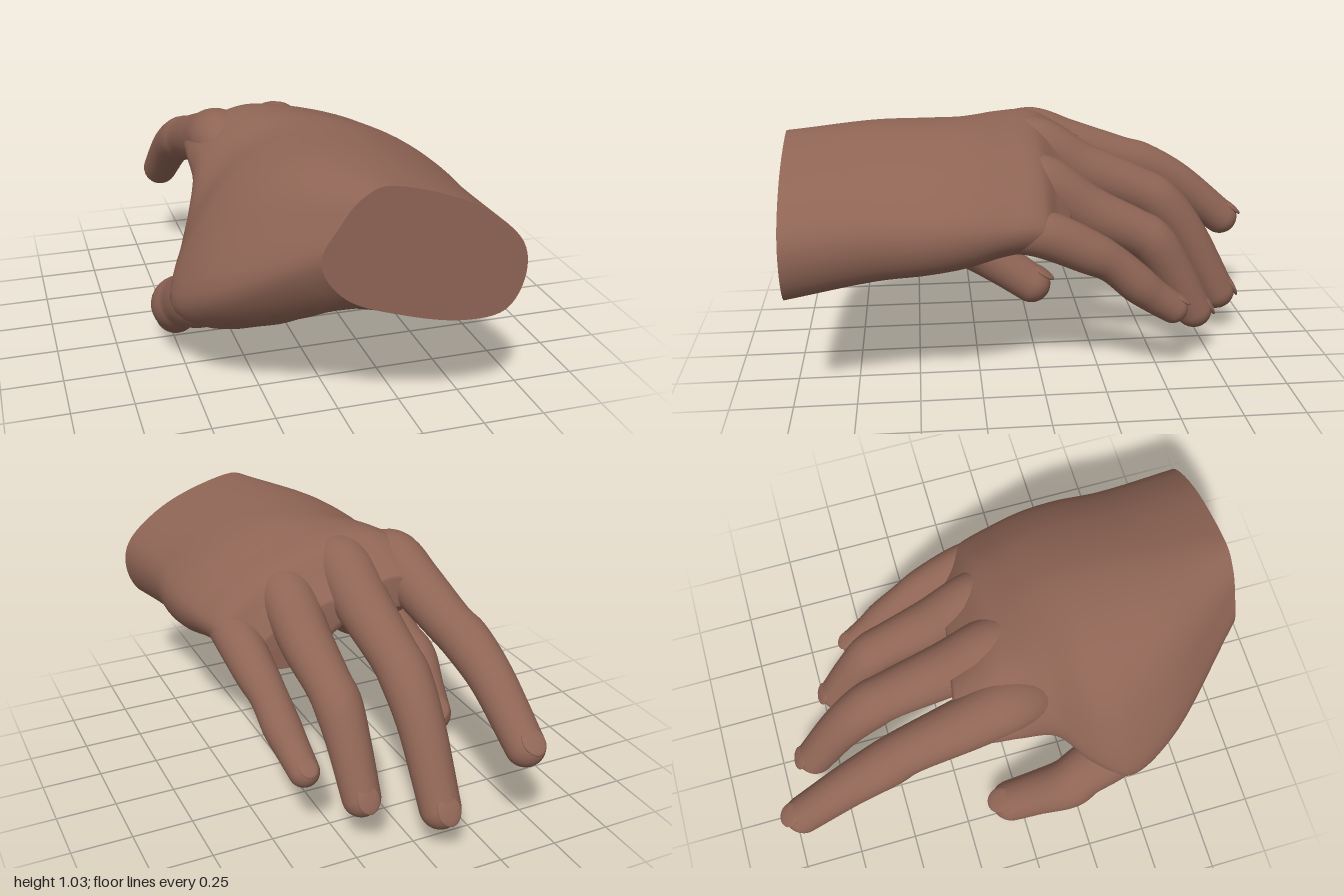
import * as THREE from 'three';

const skin = new THREE.MeshStandardMaterial({ color: 0x8f6555 });
skin.name = 'brown skin';

// Smooth skin over a list of closed rings; the last ring is closed with a fan.
function loft(rings) {
  const n = rings[0].length;
  const points = rings.flat();
  const idx = [];
  for (let i = 0; i < rings.length - 1; i++) {
    for (let j = 0; j < n; j++) {
      const a = i * n + j, b = i * n + (j + 1) % n;
      idx.push(a, b, a + n, b, b + n, a + n);
    }
  }
  const mid = new THREE.Vector3();
  rings[rings.length - 1].forEach(p => mid.addScaledVector(p, 1 / n));
  const base = points.length - n;
  for (let j = 0; j < n; j++) idx.push(base + j, base + (j + 1) % n, points.length);
  const geo = new THREE.BufferGeometry().setFromPoints([...points, mid]);
  geo.setIndex(idx);
  geo.computeVertexNormals();
  return geo;
}

function addMesh(parent, name, geo) {
  const mesh = new THREE.Mesh(geo, skin);
  mesh.name = name;
  parent.add(mesh);
  return mesh;
}

// Outer half of the palm: back of the hand, little finger edge, heel
const back = [[.08, 1.03], [.36, .94], [.56, .79]];
const edge = [.6, .66];
const heel = [[.53, .54], [.36, .52]];

// Palm stations from wrist to finger roots: z, sideways shift of the outer half,
// rise of its back, rise of its heel, thumb edge, index edge, thumb pad, hollow
const stations = [
  [1, .02, -.02, -.06, -.16, .75, -.09, .89, -.06, .6, -.02],
  [.65, -.01, 0, -.01, -.5, .48, -.36, .79, -.24, .35, .09],
  [.45, 0, 0, .01, -.585, .4, -.43, .76, -.36, .29, .12],
  [.3, -.01, 0, .03, -.51, .5, -.42, .77, -.33, .48, .08],
  [.15, -.04, -.01, .06, -.41, .71, -.39, .87, -.25, .66, .05],
  [0, -.08, -.03, .06, -.41, .81, -.37, .92, -.25, .75, .05],
  [-.1, -.1, -.11, .04, -.39, .81, -.36, .89, -.25, .74, .05],
  [-.18, -.13, -.18, .03, -.34, .81, -.32, .85, -.25, .77, .08]
];

function palmOutline([z, shift, rise, heelRise, bx, by, cx, cy, lx, ly, hollow], around) {
  // The finger roots slant back toward the little finger
  const at = (x, y) => new THREE.Vector3(x, y, z + Math.max(0, -z) * x);
  const backPts = back.map(([x, y]) => at(x + shift, y + rise));
  const heelPts = heel.map(([x, y]) => at(x + shift, y + heelRise));
  const e = backPts[0], h = heelPts[1];
  // Rounded shoulder over the index knuckle
  const shoulder = at((cx + e.x) / 2 - .15 * (e.y - cy), (cy + e.y) / 2 + .15 * (e.x - cx));
  const corners = [
    at(bx, by), at(cx, cy), shoulder, ...backPts,
    at(edge[0] + shift, edge[1] + (rise + heelRise) / 2), ...heelPts,
    at((h.x + lx) / 2, (h.y + ly) / 2 + hollow), at(lx, ly)
  ];
  return new THREE.CatmullRomCurve3(corners, true, 'catmullrom').getPoints(around).slice(0, around);
}

function addPalm(parent) {
  const outlines = stations.map(s => palmOutline(s, 66));
  // Run a smooth line through matching points of all stations
  const lines = outlines[0].map((_, j) =>
    new THREE.CatmullRomCurve3(outlines.map(o => o[j])).getPoints(56));
  addMesh(parent, 'palm', loft(lines[0].map((_, i) => lines.map(line => line[i]))));

  // Flat cut at the wrist
  const cut = new THREE.ShapeGeometry(new THREE.Shape(outlines[0].map(p => new THREE.Vector2(p.x, p.y))));
  addMesh(parent, 'wristCut', cut).position.z = 1;
}

// Each finger: x at root and tip, knuckle radius, and its bend as z, y pairs
const fingers = {
  indexFinger: { root: -.26, tip: -.375, radius: .119,
    bend: [[.14, .84], [0, .885], [-.18, .83], [-.42, .755], [-.53, .715], [-.7, .62], [-.92, .44]] },
  middleFinger: { root: -.035, tip: -.065, radius: .123,
    bend: [[.14, .86], [0, .895], [-.2, .79], [-.44, .69], [-.55, .625], [-.68, .47], [-.835, .195]] },
  ringFinger: { root: .22, tip: .193, radius: .116,
    bend: [[.14, .78], [0, .81], [-.2, .68], [-.39, .59], [-.48, .53], [-.57, .4], [-.67, .218]] },
  littleFinger: { root: .45, tip: .375, radius: .094,
    bend: [[.14, .68], [0, .665], [-.18, .58], [-.28, .52], [-.38, .43], [-.45, .37], [-.535, .307]] }
};
const taper = [.83, 1, .93, .82, .83, .75, .67];

// Thumb joints: x, y, z, radius
const thumb = [[-.4, .47, .53, .13], [-.46, .38, .4, .122], [-.49, .31, .28, .11],
  [-.512, .26, .2, .11], [-.495, .17, .07, .098], [-.48, .093, -.04, .092]];

const fingerJoints = ({ root, tip, radius, bend }) => bend.map(([z, y], i) =>
  [THREE.MathUtils.lerp(root, tip, i / (bend.length - 1)), y, z, radius * taper[i]]);

function addDigit(parent, name, joints) {
  const around = 28, along = 48, capSteps = 9;
  const path = new THREE.CatmullRomCurve3(joints.map(([x, y, z]) => new THREE.Vector3(x, y, z)), false, 'catmullrom');
  const width = new THREE.CatmullRomCurve3(joints.map(j => new THREE.Vector3(j[3], 0, 0)), false, 'catmullrom');
  const frameAt = u => {
    const t = path.getTangent(u);
    const side = new THREE.Vector3(1, 0, 0).addScaledVector(t, -t.x).normalize();
    return { c: path.getPoint(u), r: width.getPoint(u).x, t, side, up: side.clone().cross(t) };
  };
  const ring = ({ c, t, side, up }, r, shift) => Array.from({ length: around }, (_, j) => {
    const a = j / around * Math.PI * 2;
    return c.clone().addScaledVector(t, shift)
      .addScaledVector(side, -Math.cos(a) * r).addScaledVector(up, Math.sin(a) * r);
  });
  const rings = [];
  for (let i = 0; i <= along; i++) {
    const f = frameAt(i / along);
    rings.push(ring(f, f.r, 0));
  }
  // Rounded fingertip
  const end = frameAt(1);
  for (let i = 1; i <= capSteps; i++) {
    const a = i / (capSteps + 0.3) * Math.PI / 2;
    rings.push(ring(end, end.r * Math.cos(a), end.r * Math.sin(a)));
  }
  const digit = new THREE.Group();
  digit.name = name;
  addMesh(digit, name + 'Flesh', loft(rings));

  // Faint nail lying on the back of the tip
  const nail = addMesh(digit, name + 'Nail', new THREE.SphereGeometry(1, 20, 12));
  nail.scale.set(end.r * .62, end.r * .16, end.r * .75);
  nail.quaternion.setFromRotationMatrix(
    new THREE.Matrix4().makeBasis(end.side, end.up, end.t.clone().negate()));
  nail.position.copy(end.c).addScaledVector(end.up, end.r * .87).addScaledVector(end.t, end.r * .1);
  parent.add(digit);
}

export function createModel() {
  const hand = new THREE.Group();
  hand.name = 'hand';
  addPalm(hand);
  for (const [name, finger] of Object.entries(fingers)) addDigit(hand, name, fingerJoints(finger));
  addDigit(hand, 'thumb', thumb);
  return hand;
}
